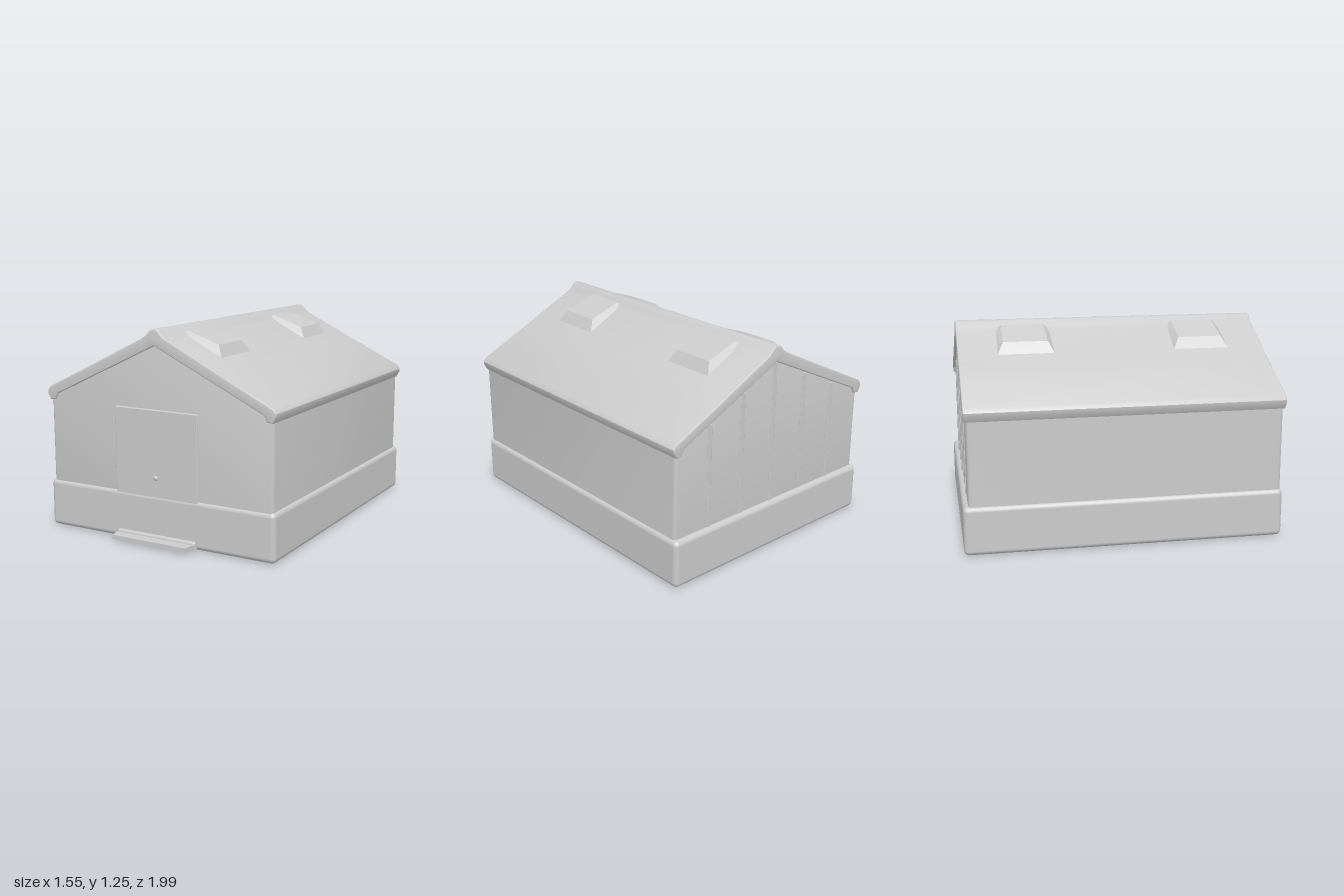
import * as THREE from 'three';
import { toCreasedNormals } from 'three/addons/utils/BufferGeometryUtils.js';
import { RoundedBoxGeometry } from 'three/addons/geometries/RoundedBoxGeometry.js';
import { ConvexGeometry } from 'three/addons/geometries/ConvexGeometry.js';

const material = new THREE.MeshStandardMaterial({ color: 0xcccccc });

export function createModel() {
  const model = new THREE.Group();
  model.name = 'gabledHouse';

  const add = (name, geometry, x = 0, y = 0, z = 0) => {
    const mesh = new THREE.Mesh(geometry, material);
    mesh.name = name;
    mesh.position.set(x, y, z);
    model.add(mesh);
    return mesh;
  };

  // Extrudes an outline along z from back to front, with softened end edges
  const extrudeZ = (points, back, front, bevel) => {
    const geometry = new THREE.ExtrudeGeometry(
      new THREE.Shape(points.map(([x, y]) => new THREE.Vector2(x, y))),
      {
        depth: front - back - 2 * bevel,
        bevelThickness: bevel, bevelSize: bevel, bevelOffset: -bevel, bevelSegments: 3,
      });
    geometry.translate(0, 0, back + bevel);
    return toCreasedNormals(geometry, 0.6);
  };
  const mirrored = (half) => half.map(([x, y]) => [-x, y]).reverse();

  // Plinth around the foot of the house
  add('plinth', new RoundedBoxGeometry(1.54, 0.29, 1.9, 4, 0.03), 0, 0.145, -0.038);

  // Walls with both gables
  const wall = [[0.752, 0.02], [0.752, 0.84], [0, 1.2]];
  add('walls', extrudeZ([...wall, ...mirrored(wall.slice(0, 2))], -0.957, 0.9, 0.02));

  // Roof shell with rounded eaves and a rolled ridge
  const outer = [[0.752, 0.785], [0.772, 0.82], [0.774, 0.84], [0.757, 0.865], [0.4, 1.038],
    [0.09, 1.19], [0.055, 1.212], [0.03, 1.24], [0.012, 1.249]];
  const inner = [[-0.715, 0.79], [-0.7, 0.825], [0, 1.155], [0.7, 0.825], [0.715, 0.79]];
  add('roof', extrudeZ([...outer, ...mirrored(outer), ...inner], -0.972, 0.912, 0.008));

  // Four raised roof hatches, tapered towards the slope
  for (const side of [-1, 1]) {
    for (const z of [0.515, -0.565]) {
      const corners = [];
      for (const end of [-1, 1]) {
        corners.push(
          new THREE.Vector3(side * 0.04, 1.19, end * 0.18),
          new THREE.Vector3(side * 0.32, 1.065, end * 0.18),
          new THREE.Vector3(side * 0.06, 1.223, end * 0.13),
          new THREE.Vector3(side * 0.27, 1.15, end * 0.135));
      }
      add('roofHatch', toCreasedNormals(new ConvexGeometry(corners), 0.3), 0, 0, z);
    }
  }

  // Entrance panel level with the plinth, and its small knob
  add('door', new RoundedBoxGeometry(0.56, 0.74, 0.03, 2, 0.008), 0, 0.42, 0.893);
  add('doorKnob', new THREE.SphereGeometry(0.015, 12, 8), 0, 0.39, 0.905);

  // Thin doorstep, narrower at its outer edge
  const step = new THREE.Shape([[-0.28, 0.89], [0.28, 0.89], [0.265, 0.93], [0.25, 1],
    [-0.25, 1], [-0.265, 0.93]].map(([x, z]) => new THREE.Vector2(x, z)));
  const stepGeometry = new THREE.ExtrudeGeometry(step, { depth: 0.025, bevelEnabled: false });
  stepGeometry.rotateX(Math.PI / 2);
  add('doorstep', stepGeometry, 0, 0.037, 0);
  add('doorSill', new RoundedBoxGeometry(0.54, 0.045, 0.05, 2, 0.015), 0, 0.03, 0.905);

  // Slim battens on the rear gable
  for (let i = -2; i <= 2; i++) {
    const x = i * 0.25;
    const top = 1.15 - Math.abs(x) * 0.48;
    add('rearBatten', new RoundedBoxGeometry(0.03, top - 0.27, 0.012, 2, 0.004),
      x, (top + 0.27) / 2, -0.956);
  }

  return model;
}
